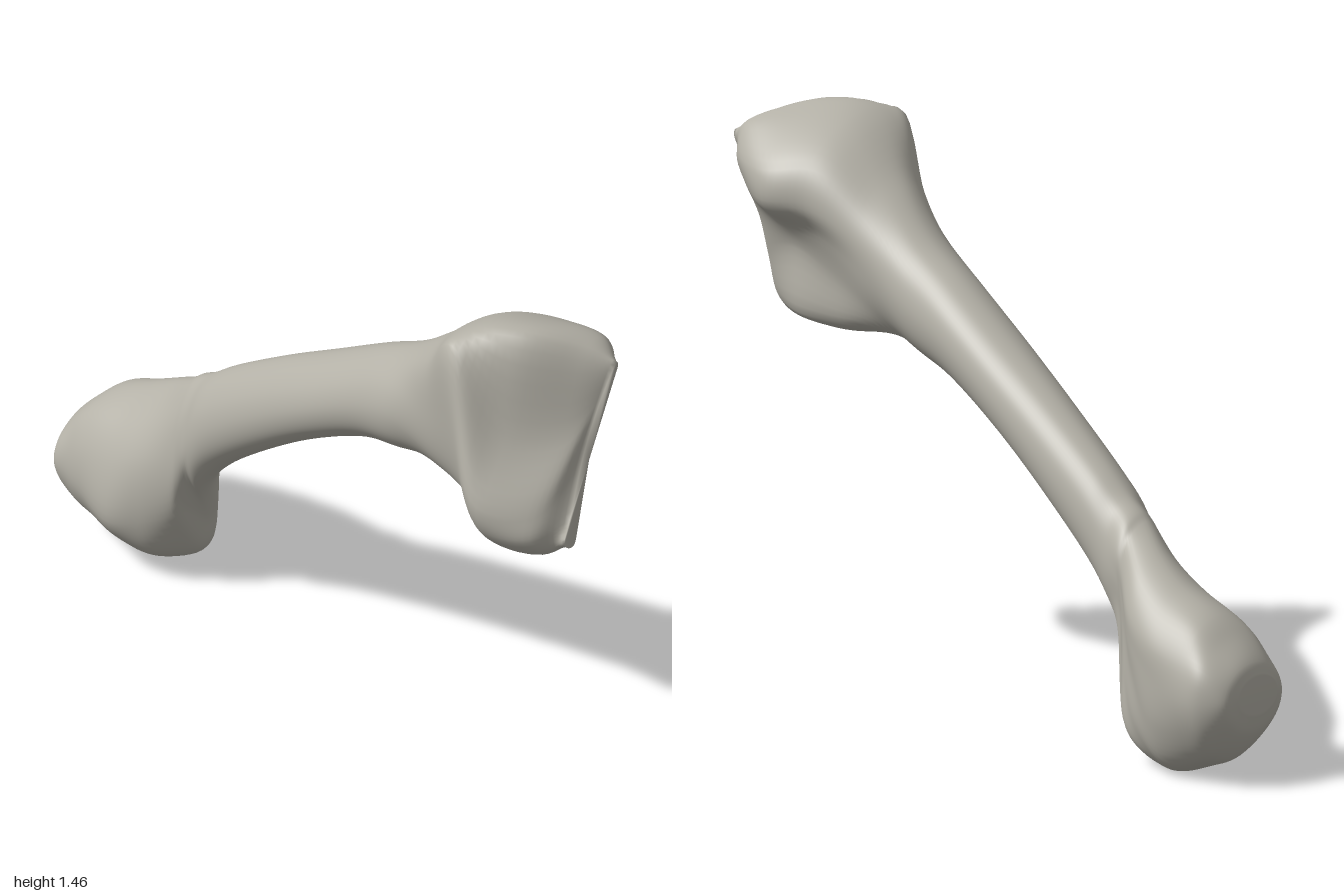
import * as THREE from 'three';

// Cross-sections run top, left, bottom, right: z followed by twelve x, y pairs.
const upperEnd = [
  [1.0, -.12, 1.375, -.165, 1.28, -.225, 1.14, -.31, .99, -.345, .945, -.34, .925, -.31, .92, -.265, 1.0, -.215, 1.1, -.165, 1.2, -.135, 1.3, -.11, 1.36],
  [.93, -.17, 1.41, -.26, 1.2, -.385, 1.03, -.41, .95, -.35, .885, -.27, .885, -.21, .93, -.17, 1.05, -.13, 1.16, -.07, 1.25, -.035, 1.33, -.08, 1.41],
  [.8, -.27, 1.455, -.365, 1.22, -.465, 1.04, -.44, .95, -.35, .88, -.2, .885, -.12, .92, -.11, 1.09, -.07, 1.155, .03, 1.23, .025, 1.32, -.12, 1.435],
  [.66, -.31, 1.445, -.38, 1.42, -.385, 1.19, -.34, 1.0, -.26, .91, -.16, .885, -.09, .92, -.07, 1.05, -.03, 1.15, .015, 1.23, -.01, 1.33, -.15, 1.42],
  [.5, -.19, 1.305, -.26, 1.26, -.28, 1.13, -.26, 1.0, -.2, .925, -.13, .905, -.06, .93, -.02, 1.0, .005, 1.08, .01, 1.16, -.02, 1.23, -.1, 1.29],
];
const lowerEnd = [
  [-.535, .17, .632, .105, .56, .08, .43, .1, .32, .17, .24, .235, .19, .265, .2, .275, .3, .28, .4, .29, .48, .285, .55, .24, .615],
  [-.56, .18, .612, .115, .54, .085, .4, .1, .25, .17, .14, .24, .075, .28, .085, .285, .2, .285, .32, .295, .42, .3, .51, .26, .585],
  [-.65, .24, .55, .15, .49, .09, .37, .085, .2, .13, .09, .24, .025, .31, .03, .36, .12, .37, .24, .385, .34, .385, .42, .33, .51],
  [-.75, .28, .49, .17, .44, .1, .33, .08, .17, .14, .085, .25, .015, .31, .003, .38, .04, .425, .15, .435, .27, .43, .36, .37, .45],
  [-.87, .29, .43, .2, .4, .14, .31, .13, .19, .18, .1, .26, .045, .32, .035, .39, .06, .44, .14, .46, .23, .44, .33, .38, .405],
  [-.93, .28, .38, .21, .36, .165, .29, .155, .2, .19, .12, .26, .07, .32, .06, .39, .085, .44, .15, .458, .23, .44, .31, .37, .36],
];
// Oval sections: z, left, right, bottom, top
const shaft = [
  [.35, -.225, .04, .885, 1.185],
  [.2, -.165, .08, .84, 1.10],
  [0, -.1, .135, .735, .98],
  [-.2, -.03, .19, .60, .86],
  [-.4, .035, .245, .44, .73],
  [-.48, .06, .268, .345, .67],
];
const lowerTip = [[-.985, .175, .425, .13, .32], [-1, .215, .375, .185, .285]];

const outline = ([z, ...p]) =>
  Array.from({ length: 12 }, (_, k) => new THREE.Vector3(p[2 * k], p[2 * k + 1], z));

const oval = ([z, x0, x1, y0, y1]) =>
  Array.from({ length: 12 }, (_, k) => {
    const a = Math.PI / 2 + (k / 12) * Math.PI * 2;
    return new THREE.Vector3((x0 + x1) / 2 + Math.cos(a) * (x1 - x0) / 2,
      (y0 + y1) / 2 + Math.sin(a) * (y1 - y0) / 2, z);
  });

// Smooth skin through the sections, closed by a fan at each end
function loft(sections, rows, cols) {
  const strands = sections[0].map((_, k) =>
    new THREE.CatmullRomCurve3(sections.map((s) => s[k]), false, 'centripetal'));
  const pos = [], index = [];
  for (let i = 0; i <= rows; i++) {
    const ring = new THREE.CatmullRomCurve3(strands.map((s) => s.getPoint(i / rows)), true, 'centripetal');
    for (let j = 0; j < cols; j++) pos.push(...ring.getPoint(j / cols).toArray());
  }
  for (let i = 0; i < rows; i++) {
    for (let j = 0; j < cols; j++) {
      const a = i * cols + j, b = i * cols + (j + 1) % cols;
      index.push(a, a + cols, b, b, a + cols, b + cols);
    }
  }
  for (const [row, front] of [[0, true], [rows, false]]) {
    const base = row * cols, centre = pos.length / 3, sum = [0, 0, 0];
    for (let j = 0; j < cols; j++) {
      for (let c = 0; c < 3; c++) sum[c] += pos[(base + j) * 3 + c] / cols;
      const a = base + j, b = base + (j + 1) % cols;
      index.push(centre, front ? a : b, front ? b : a);
    }
    pos.push(...sum);
  }
  const geo = new THREE.BufferGeometry();
  geo.setAttribute('position', new THREE.Float32BufferAttribute(pos, 3));
  geo.setIndex(index);
  geo.computeVertexNormals();
  return geo;
}

export function createModel() {
  const group = new THREE.Group();
  group.name = 'limbBone';
  const boneGrey = new THREE.MeshStandardMaterial({ color: 0xb5b2a8 });
  boneGrey.name = 'boneGrey';

  // One continuous bone: flared upper end, slim shaft, rounded lower end
  const sections = [
    ...upperEnd.map(outline), ...shaft.map(oval), ...lowerEnd.map(outline), ...lowerTip.map(oval),
  ];
  // The front ridge is hollowed between its upper and lower tips
  for (const p of sections[0]) p.z -= 0.03 * Math.sin(Math.PI * (p.y - 0.92) / 0.455);

  const bone = new THREE.Mesh(loft(sections, (sections.length - 1) * 7, 72), boneGrey);
  bone.name = 'bone';
  group.add(bone);
  return group;
}
